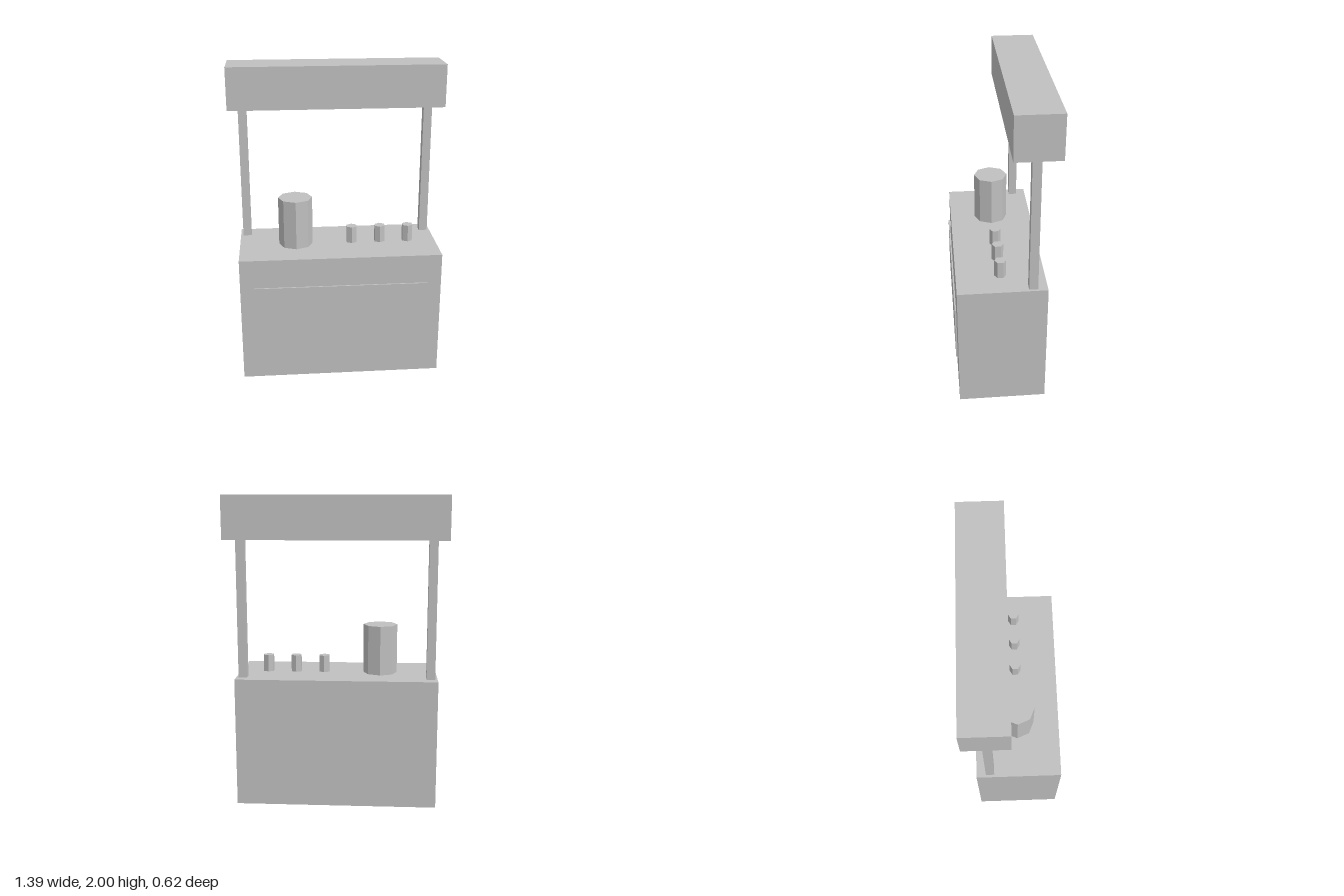
import * as THREE from 'three';

export function createModel() {
  const group = new THREE.Group();
  const grey = new THREE.MeshStandardMaterial({ color: 0xc0c0c0, flatShading: true });
  grey.name = 'plain grey';

  const add = (name, geometry, x, y, z) => {
    const mesh = new THREE.Mesh(geometry, grey);
    mesh.name = name;
    mesh.position.set(x, y, z);
    group.add(mesh);
  };
  const box = (name, w, h, d, x, bottom, z) =>
    add(name, new THREE.BoxGeometry(w, h, d), x, bottom + h / 2, z);
  const prism = (name, radius, h, sides, x, bottom, z) =>
    add(name, new THREE.CylinderGeometry(radius, radius, h, sides), x, bottom + h / 2, z);

  const counterTop = 0.84;
  const signBottom = 1.727;

  // Counter with a thin raised panel on its front
  box('counter', 1.298, counterTop, 0.555, 0, 0, 0.0175);
  box('frontPanel', 1.114, 0.366, 0.0095, 0, 0.285, 0.304);

  // Posts carrying the overhead sign box
  for (const side of [1, -1]) {
    box(side > 0 ? 'leftPost' : 'rightPost', 0.055, signBottom - counterTop, 0.055,
      side * 0.605, counterTop, -0.171);
  }
  box('overheadSign', 1.391, 2 - signBottom, 0.28, 0, signBottom, -0.17);

  // Eight-sided jug and a row of six-sided cups
  prism('jug', 0.111, 0.322, 8, -0.28, counterTop, 0.017);
  [0.091, 0.278, 0.464].forEach((x, i) =>
    prism(`cup${i + 1}`, 0.037, 0.111, 6, x, counterTop, 0.017));

  return group;
}
